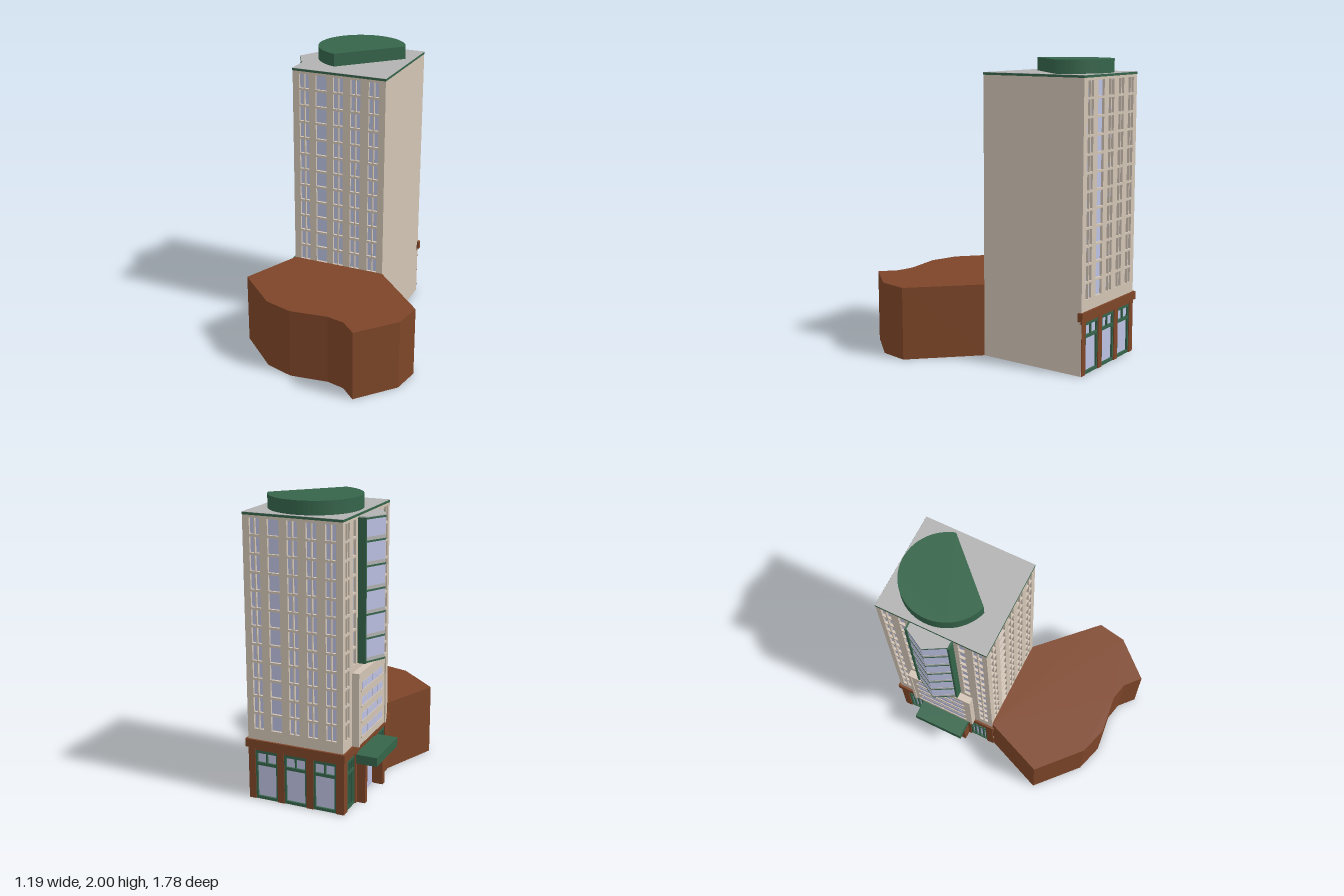
import * as THREE from 'three';

const mat = (color) => new THREE.MeshStandardMaterial({ color });
const beige = mat(0xd2c4b5), brown = mat(0x7d4528), green = mat(0x35644a);
const glass = mat(0xbcc1e2), grey = mat(0xb2b2b2);

// Tower size, wall thickness and floor grid
const W = 0.674, D = 0.762, T = 0.02;
const ROWS = 12, Y0 = 0.495, PITCH = 0.1165, TOP = 1.895, CORNICE = 0.365;

function add(parent, name, geometry, material, x = 0, y = 0, z = 0) {
  const mesh = new THREE.Mesh(geometry, material);
  mesh.name = name;
  mesh.position.set(x, y, z);
  parent.add(mesh);
  return mesh;
}

// Box given by centre x, bottom and top y, back and front z
function block(parent, name, material, x, w, y0, y1, z0, z1) {
  return add(parent, name, new THREE.BoxGeometry(w, y1 - y0, z1 - z0), material, x, (y0 + y1) / 2, (z0 + z1) / 2);
}

// Upright prism over a plan outline of [x, z] points
function prism(parent, name, material, points, y0, y1) {
  const shape = new THREE.Shape(points.map(([x, z]) => new THREE.Vector2(x, -z)));
  const geometry = new THREE.ExtrudeGeometry(shape, { depth: y1 - y0, bevelEnabled: false });
  geometry.rotateX(-Math.PI / 2);
  return add(parent, name, geometry, material, 0, y0, 0);
}

const rect = (x0, y0, x1, y1) => [[x0, y0], [x1, y0], [x1, y1], [x0, y1]].map(([x, y]) => new THREE.Vector2(x, y));

// Wall with window openings; a column is { x, w, panes, from }
function windowWall(parent, name, width, bottom, columns) {
  const wall = new THREE.Shape(rect(-width / 2, bottom, width / 2, TOP));
  for (const { x, w, panes, from = 0 } of columns) {
    const step = w / panes, gap = panes > 1 ? 0.004 : 0;
    for (let r = from; r < ROWS; r++) {
      const y = Y0 + r * PITCH;
      for (let p = 0; p < panes; p++) {
        const left = x - w / 2 + p * step;
        wall.holes.push(new THREE.Path(rect(left + gap, y, left + step - gap, y + PITCH - 0.015)));
      }
    }
    block(parent, 'windowGlass', glass, x, w + 0.01, Y0 + from * PITCH - 0.005, TOP - 0.005, -0.004, 0.003);
  }
  add(parent, name, new THREE.ExtrudeGeometry(wall, { depth: T, bevelEnabled: false }), beige);
}

// Shop window: glass, green frame, transom and mullions
function shopBay(parent, x, w, mullions) {
  block(parent, 'shopGlass', glass, x, w, 0, 0.345, 0, 0.004);
  for (const y of [0.0, 0.24, 0.325]) block(parent, 'shopRail', green, x, w, y, y + 0.02, 0, 0.018);
  for (const s of [-1, 1]) block(parent, 'shopStile', green, x + s * (w / 2 - 0.006), 0.012, 0, 0.345, 0, 0.018);
  for (let i = 1; i <= mullions; i++) {
    const mx = x - w / 2 + (i * w) / (mullions + 1);
    block(parent, 'shopMullion', green, mx, 0.01, mullions > 1 ? 0 : 0.25, 0.345, 0, 0.016);
  }
}

// Brown header and projecting cornice over the ground floor
function streetBand(parent, width) {
  block(parent, 'shopHeader', brown, 0, width, 0.345, CORNICE, 0, T);
  block(parent, 'cornice', brown, 0, width + 0.03, CORNICE, 0.42, 0, T + 0.015);
}

function side(tower, name, angle, distance) {
  const g = new THREE.Group();
  g.name = name;
  g.rotation.y = angle;
  g.position.set(Math.sin(angle) * distance, 0, Math.cos(angle) * distance);
  tower.add(g);
  return g;
}

function entranceSide(g) {
  const columns = [];
  for (const s of [-1, 1]) {
    columns.push({ x: s * 0.315, w: 0.075, panes: 2 });
    columns.push({ x: s * 0.205, w: 0.045, panes: 1, from: 4 });
  }
  windowWall(g, 'entranceWall', D, 0.42, columns);
  streetBand(g, D);

  // Projecting panel with four rows of strip windows
  block(g, 'stripPanel', beige, 0, 0.48, 0.42, 0.9, T, 0.06);
  block(g, 'panelTop', beige, 0, 0.48, 0.895, 0.915, T, 0.068);
  for (const s of [-1, 1]) block(g, 'panelEdge', beige, s * 0.23, 0.02, 0.42, 0.9, T, 0.068);
  for (let r = 0; r < 4; r++) {
    const y = 0.475 + r * 0.105;
    block(g, 'stripSill', beige, 0, 0.38, y - 0.01, y, 0.06, 0.067);
    for (let i = 0; i < 4; i++) block(g, 'stripWindow', glass, -0.135 + i * 0.09, 0.08, y, y + 0.05, 0.055, 0.062);
  }

  // Angled bay window with green frame and floor bands
  const bay = (k) => [[-0.14, 0], [-0.14, 0.064 + k], [0, 0.141 + k], [0.14, 0.064 + k], [0.14, 0]];
  const floors = 6, y0 = 0.955, y1 = 1.885, h = (y1 - y0) / floors;
  prism(g, 'bayGlass', glass, bay(0), y0, y1);
  for (let i = 0; i <= floors; i++) {
    const y = Math.min(y0 + i * h, y1 - 0.012);
    prism(g, 'bayBand', green, bay(0.004), y, y + 0.012);
    if (i < floors) prism(g, 'bayPanel', grey, bay(0.002), y + 0.012, y + 0.035);
  }
  prism(g, 'bayRoof', grey, bay(0.004), y1, y1 + 0.006);
  for (const s of [-1, 1]) block(g, 'bayFrame', green, s * 0.146, 0.014, y0, y1, T, 0.074);

  // Entrance: doors, posts, canopy and side shop windows
  for (const s of [-1, 1]) {
    shopBay(g, s * 0.262, 0.136, 3);
    block(g, 'cornerPier', brown, s * 0.355, 0.052, 0, CORNICE, 0, T + 0.006);
    block(g, 'doorPier', brown, s * 0.17, 0.05, 0, CORNICE, 0, T + 0.006);
    block(g, 'canopyPost', brown, s * 0.155, 0.035, 0, 0.285, 0.02, 0.085);
    block(g, 'doorLeaf', s < 0 ? grey : glass, s * 0.072, 0.136, 0, 0.28, 0, 0.008);
  }
  block(g, 'doorMullion', green, 0, 0.012, 0, 0.28, 0, 0.014);
  block(g, 'canopy', green, 0, 0.372, 0.28, 0.342, 0, 0.17);
}

function backSide(g) {
  const xs = [-0.256, -0.128, 0, 0.128, 0.256];
  windowWall(g, 'backWall', W, 0.42, xs.map((x, i) => ({ x, w: 0.078, panes: i === 1 ? 1 : 2 })));
  streetBand(g, W);
  for (let i = 0; i < 4; i++) block(g, 'shopPier', brown, -0.312 + i * 0.208, 0.048, 0, CORNICE, 0, T + 0.004);
  for (let i = 0; i < 3; i++) shopBay(g, -0.208 + i * 0.208, 0.16, 1);
}

export function createModel() {
  const model = new THREE.Group();
  model.name = 'building';

  // Low annex with an irregular plan
  prism(model, 'annex', brown, [
    [-0.305, -0.155], [-0.597, 0.2], [-0.4, 0.535], [-0.23, 0.65], [0.03, 0.697],
    [0.14, 0.76], [0.213, 0.882], [0.5, 0.71], [0.593, 0.53], [0.335, 0.045],
  ], 0, 0.495);

  // Tower, turned against the axes
  const tower = new THREE.Group();
  tower.name = 'tower';
  tower.position.set(0.125, 0, -0.42);
  tower.rotation.y = -0.297;
  model.add(tower);
  block(tower, 'core', beige, T / 2, W - T, 0, TOP, -D / 2 + T, D / 2 - T);
  block(tower, 'plainWall', beige, W / 2 - 0.005, 0.01, 0, TOP, -D / 2, D / 2);
  block(tower, 'roofEdge', green, 0, W + 0.004, TOP, 1.91, -D / 2 - 0.002, D / 2 + 0.002);
  block(tower, 'roof', grey, 0, W + 0.003, 1.91, 1.912, -D / 2 - 0.001, D / 2 + 0.001);

  const front = side(tower, 'frontSide', 0, D / 2 - T);
  const xs = [-0.253, -0.128, -0.003, 0.123, 0.254];
  windowWall(front, 'frontWall', W, 0, xs.map((x, i) => ({ x, w: 0.08, panes: i === 1 ? 1 : 2 })));
  backSide(side(tower, 'backSide', Math.PI, D / 2 - T));
  entranceSide(side(tower, 'entranceSide', -Math.PI / 2, W / 2 - T));

  // Roof drum: a disc cut off along a chord
  const drum = [];
  for (let i = 0; i <= 40; i++) {
    const a = THREE.MathUtils.degToRad(123 + (237 * i) / 40);
    drum.push([0.132 + 0.303 * Math.cos(a), -0.468 + 0.303 * Math.sin(a)]);
  }
  prism(model, 'roofDrum', green, drum, 1.911, 2);

  return model;
}
